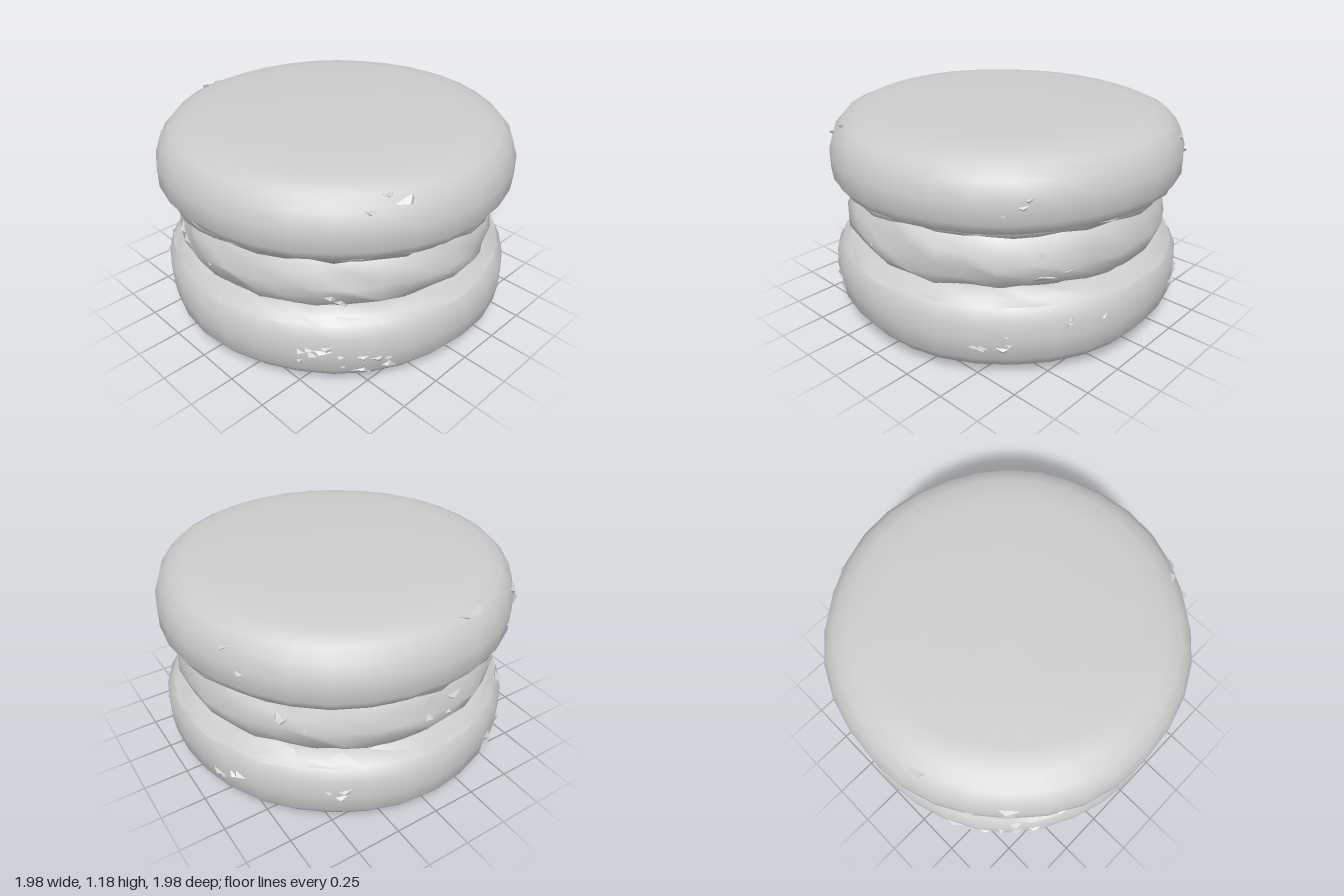
import * as THREE from 'three';
import { mergeVertices, mergeGeometries } from 'three/addons/utils/BufferGeometryUtils.js';

const SIDES = 32;

// small seeded random, -1..1
function seeded(seed) {
  let s = seed;
  return () => {
    s = (s * 16807) % 2147483647;
    return (s / 2147483647) * 2 - 1;
  };
}

// lathe whose welded vertices are moved by rule(v, angle, radius)
function turned(profile, rule, sides = SIDES) {
  let g = new THREE.LatheGeometry(profile.map(([r, y]) => new THREE.Vector2(r, y)), sides);
  g.deleteAttribute('uv');
  g.deleteAttribute('normal');
  g = mergeVertices(g, 1e-4);
  const p = g.attributes.position, v = new THREE.Vector3();
  for (let i = 0; i < p.count; i++) {
    v.fromBufferAttribute(p, i);
    rule(v, Math.atan2(v.x, v.z), Math.hypot(v.x, v.z));
    p.setXYZ(i, v.x, v.y, v.z);
  }
  g.computeVertexNormals();
  return g;
}

// slightly uneven outline for the shells
const uneven = (phase) => (v, a, r) => {
  const k = 1 + 0.004 * Math.sin(3 * a + phase) + 0.004 * Math.sin(7 * a + 2 * phase);
  v.x *= k;
  v.z *= k;
  v.y += r * 0.006 * Math.sin(2 * a + phase);
};

// ragged ring: random radial and vertical offsets
function ragged(seed, dr, dy) {
  const rnd = seeded(seed);
  return (v) => {
    const k = 1 + dr * rnd();
    v.x *= k;
    v.z *= k;
    v.y += dy * rnd();
  };
}

// flat-faced crumbs lying on a side wall, grouped around [angle, y, count]
function crumbs(clusters, radiusAt, seed) {
  const rnd = seeded(seed), parts = [], dummy = new THREE.Object3D();
  for (const [angle, y, count] of clusters) {
    for (let i = 0; i < count; i++) {
      const a = angle + rnd() * 0.14, h = y + rnd() * 0.06, r = radiusAt(h) - 0.002;
      const g = new THREE.ConeGeometry(0.045 + 0.02 * rnd(), 0.03, 3).toNonIndexed();
      g.rotateX(Math.PI / 2);
      g.rotateZ(rnd() * 3);
      g.scale(1.3, 0.7, 1);
      dummy.position.set(Math.sin(a) * r, h, Math.cos(a) * r);
      dummy.rotation.set(rnd() * 0.2, a + rnd() * 0.2, 0, 'YXZ');
      dummy.updateMatrix();
      g.applyMatrix4(dummy.matrix);
      g.computeVertexNormals();
      parts.push(g);
    }
  }
  return mergeGeometries(parts);
}

// radius of a profile's outer wall at height y
const wall = (profile) => (y) => {
  for (let i = 1; i < profile.length; i++) {
    const [r0, y0] = profile[i - 1], [r1, y1] = profile[i];
    if (y >= y0 && y <= y1) return r0 + (r1 - r0) * (y - y0) / Math.max(y1 - y0, 1e-6);
  }
  return 0.9;
};

export function createModel() {
  const group = new THREE.Group();
  const grey = new THREE.MeshStandardMaterial({ color: 0xcccccc, side: THREE.DoubleSide });
  grey.name = 'biscuitGrey';
  const add = (name, geometry) => {
    const mesh = new THREE.Mesh(geometry, grey);
    mesh.name = name;
    group.add(mesh);
  };

  const lower = [
    [0, 0.006], [0.4, 0.01], [0.7, 0.02], [0.83, 0.04], [0.92, 0.08], [0.975, 0.15],
    [0.99, 0.25], [0.985, 0.36], [0.94, 0.42], [0.87, 0.475], [0.7, 0.49], [0, 0.49],
  ];
  const upper = [
    [0, 0.755], [0.7, 0.755], [0.86, 0.765], [0.94, 0.8], [0.985, 0.865], [0.985, 0.97],
    [0.955, 1.06], [0.9, 1.12], [0.82, 1.155], [0.7, 1.172], [0.4, 1.182], [0, 1.184],
  ];
  add('lowerShell', turned(lower, uneven(0.5)));
  add('upperShell', turned(upper, uneven(2.1)));

  // soft bulging filling with a lumpy surface
  const filling = [
    [0.8, 0.44], [0.865, 0.48], [0.895, 0.54], [0.905, 0.6], [0.885, 0.67], [0.85, 0.74], [0.8, 0.79],
  ];
  add('filling', turned(filling, ragged(71, 0.018, 0.016), 36));

  // torn edges where the shells meet the filling
  add('upperFoot', turned([[0.84, 0.75], [0.895, 0.765], [0.935, 0.79], [0.945, 0.815]], ragged(13, 0.014, 0.012), 48));
  add('lowerFoot', turned([[0.95, 0.415], [0.915, 0.445], [0.88, 0.475], [0.84, 0.485]], ragged(29, 0.012, 0.01), 48));

  // broken patches on the side walls
  add('lowerCrumbs', crumbs([
    [0.75, 0.26, 7], [0.95, 0.2, 6], [-0.7, 0.36, 5], [2.2, 0.24, 5], [2.7, 0.34, 3],
    [-1.0, 0.22, 6], [-2.2, 0.3, 3], [3.5, 0.25, 4],
  ], wall(lower), 43));
  add('upperCrumbs', crumbs([
    [1.1, 1.05, 3], [-0.9, 0.97, 3], [-0.4, 0.94, 1], [-1.3, 1.06, 2], [2.4, 0.95, 3], [3.6, 1.0, 2],
  ], wall(upper), 57));
  add('fillingCrumbs', crumbs([
    [-0.25, 0.53, 3], [0.15, 0.51, 2], [0.75, 0.5, 3], [-1.5, 0.62, 4], [1.6, 0.6, 3], [2.6, 0.58, 4], [-2.4, 0.6, 3],
  ], wall(filling), 91));

  return group;
}
